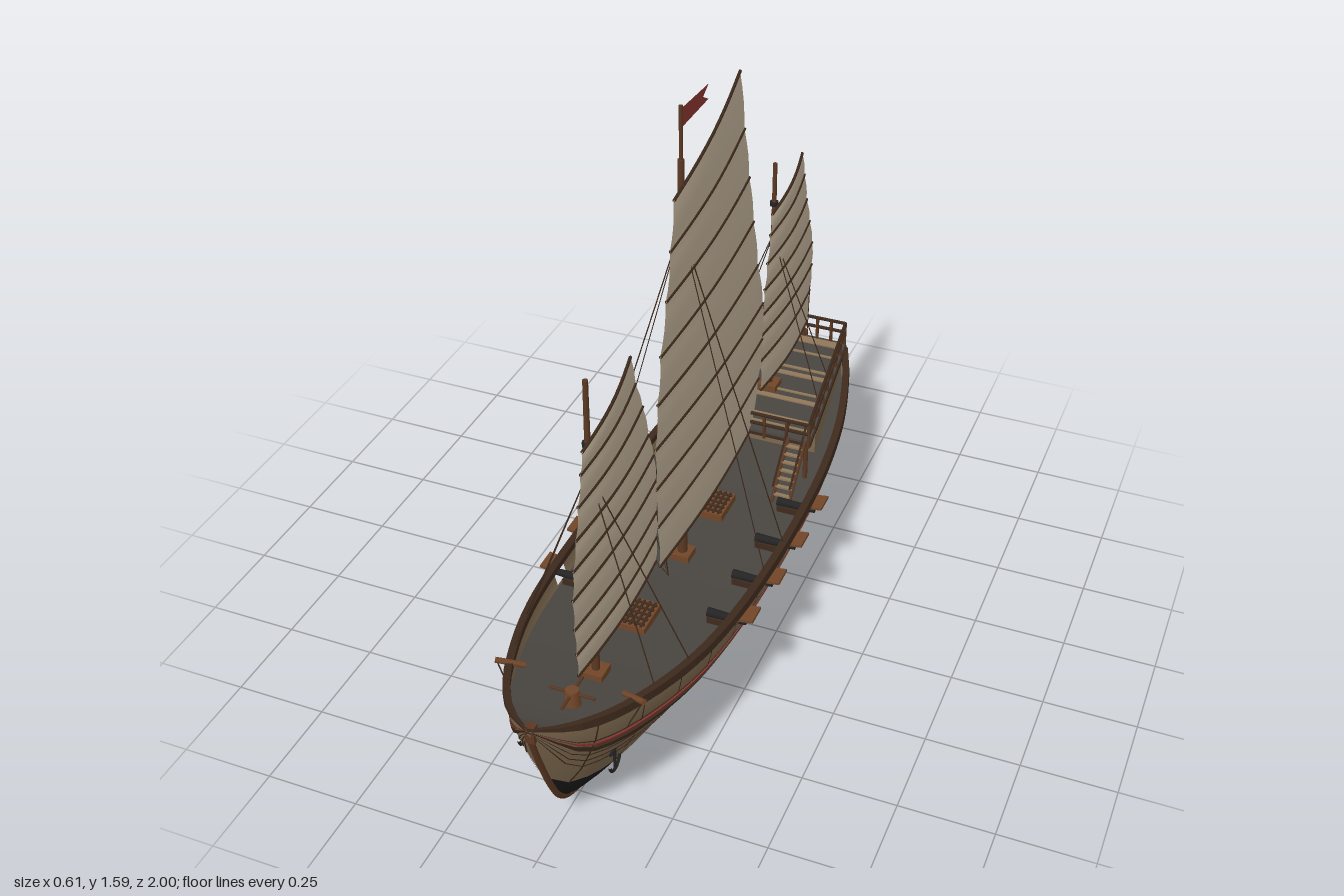
import * as THREE from 'three';

const mat = (name, color, side = THREE.FrontSide) => {
  const m = new THREE.MeshStandardMaterial({ color, side });
  m.name = name;
  return m;
};
const D = THREE.DoubleSide;
const M = {
  hull: mat('weatheredPlank', 0x7c674d, D), tar: mat('blackTar', 0x191919, D),
  trim: mat('darkTrim', 0x3e2a1d, D), deck: mat('greyDeck', 0x494540, D),
  spar: mat('mastBrown', 0x5b3822), lid: mat('reddishWood', 0x714628),
  sail: mat('sailCloth', 0xc0b098, D), red: mat('redPaint', 0x8c3530, D),
  iron: mat('iron', 0x232323), tan: mat('paleWood', 0x8f7659),
};
const V = (x, y, z) => new THREE.Vector3(x, y, z);
const lerp = THREE.MathUtils.lerp, clamp = THREE.MathUtils.clamp;

// smooth interpolation through [position, value] pairs in ascending order
const curve = (p) => (z) => {
  z = clamp(z, p[0][0], p[p.length - 1][0]);
  let i = 0;
  while (i < p.length - 2 && z > p[i + 1][0]) i++;
  const slope = (a, b) => (p[b][1] - p[a][1]) / (p[b][0] - p[a][0]);
  const m = (k) => slope(Math.max(k - 1, 0), Math.min(k + 1, p.length - 1));
  const d = p[i + 1][0] - p[i][0], t = (z - p[i][0]) / d, t2 = t * t, t3 = t2 * t;
  return (2 * t3 - 3 * t2 + 1) * p[i][1] + (t3 - 2 * t2 + t) * d * m(i)
    + (3 * t2 - 2 * t3) * p[i + 1][1] + (t3 - t2) * d * m(i + 1);
};

// hull lines: sheer, keel, half-breadth, waterline and section shape
const sheer = curve([[-0.905, 0.37], [-0.6, 0.34], [-0.4, 0.326], [-0.2, 0.32], [0, 0.322], [0.2, 0.33], [0.4, 0.345], [0.6, 0.366], [0.8, 0.395], [1, 0.435]]);
const keel = curve([[-0.905, 0.235], [-0.87, 0.15], [-0.83, 0.065], [-0.78, 0.03], [-0.6, 0.012], [0, 0.01], [0.5, 0.012], [0.75, 0.032], [0.85, 0.085], [0.9, 0.165], [0.96, 0.31], [1, 0.425]]);
const beamAt = curve([[-0.905, 0.138], [-0.8, 0.178], [-0.6, 0.23], [-0.4, 0.257], [-0.2, 0.268], [0.1, 0.27], [0.4, 0.255], [0.6, 0.223], [0.8, 0.16], [0.9, 0.108], [0.96, 0.06], [1, 0.004]]);
const water = curve([[-0.9, 0.18], [-0.6, 0.14], [0, 0.125], [0.6, 0.135], [0.9, 0.175]]);
const section = curve([[0, 0.02], [0.12, 0.25], [0.33, 0.55], [0.5, 0.72], [0.65, 0.86], [0.8, 0.96], [0.9, 1], [1, 0.98]]);
const below = (z, off) => sheer(z) - off * Math.min(1, (sheer(z) - keel(z)) / 0.25);
const halfW = (z, y) => beamAt(z) * section(clamp((y - keel(z)) / (sheer(z) - keel(z)), 0, 1));
const waterY = (z) => clamp(water(z), keel(z), below(z, 0.1));
const deckY = (z) => below(z, 0.072);

const PORTS = [0.305, 0.125, -0.05, -0.225], PW = 0.03;
const inPort = (z) => PORTS.some((p) => Math.abs(z - p) < PW);
const stations = [...Array.from({ length: 49 }, (_, i) => -0.905 + (1.905 * i) / 48).filter((z) => !inPort(z)),
  ...PORTS.flatMap((p) => [p - PW, p + PW])].sort((a, b) => a - b);

export function createModel() {
  const ship = new THREE.Group();
  ship.name = 'junk';
  const add = (name, geo, m, parent = ship) => {
    const mesh = new THREE.Mesh(geo, m);
    mesh.name = name;
    parent.add(mesh);
    return mesh;
  };
  const group = (name) => {
    const g = new THREE.Group();
    g.name = name;
    ship.add(g);
    return g;
  };
  const box = (name, w, h, d, x, y, z, m, parent) => {
    const b = add(name, new THREE.BoxGeometry(w, h, d), m, parent);
    b.position.set(x, y, z);
    return b;
  };
  // round bar between two points
  const bar = (name, a, b, r, m, parent, sides = 6, r2 = r) => {
    const c = add(name, new THREE.CylinderGeometry(r2, r, a.distanceTo(b), sides), m, parent);
    c.position.copy(a).lerp(b, 0.5);
    c.quaternion.setFromUnitVectors(V(0, 1, 0), b.clone().sub(a).normalize());
    return c;
  };
  // surface through a grid of points
  const loft = (name, grid, m, { flat = false, skip = () => false, parent = ship } = {}) => {
    const n = grid[0].length, idx = [];
    for (let i = 0; i < grid.length - 1; i++) for (let j = 0; j < n - 1; j++) {
      if (skip(i, j)) continue;
      const a = i * n + j, b = a + n;
      idx.push(a, b, a + 1, b, b + 1, a + 1);
    }
    let g = new THREE.BufferGeometry().setFromPoints(grid.flat());
    g.setIndex(idx);
    if (flat) g = g.toNonIndexed();
    g.computeVertexNormals();
    return add(name, g, m, parent);
  };
  // slab from a plan outline of [x, z]
  const slab = (name, pts, y, h, m, parent) => {
    const g = new THREE.ExtrudeGeometry(new THREE.Shape(pts.map(([x, z]) => new THREE.Vector2(x, -z))), { depth: h, bevelEnabled: false });
    return add(name, g.rotateX(-Math.PI / 2).translate(0, y, 0), m, parent);
  };

  // hull shell, with gun ports left open
  const hull = group('hull');
  const lowRows = (z) => [0, 0.15, 0.3, 0.5, 0.75, 1].map((t) => lerp(keel(z), waterY(z), t));
  const topRows = (z) => [...[0, 0.33, 0.66, 1].map((t) => lerp(waterY(z), below(z, 0.068), t)), below(z, 0.026), sheer(z)];
  const openings = { parent: hull, skip: (i, j) => j === 3 && inPort((stations[i] + stations[i + 1]) / 2) };
  for (const s of [1, -1]) {
    const side = (rows) => stations.map((z) => rows(z).map((y) => V(s * halfW(z, y), y, z)));
    loft('bottom', side(lowRows), M.tar, { parent: hull });
    loft('topsides', side(topRows), M.hull, openings);
    // raised strakes following the sheer
    const strake = (name, o0, o1, th, m) => loft(name, stations.map((z) => {
      const y0 = below(z, o0), y1 = o1 < 0 ? sheer(z) - o1 : below(z, o1), w = Math.min(halfW(z, y0), halfW(z, y1));
      const wi = Math.max(w - (o1 < 0 ? 0.012 : 0.002), 0), a = halfW(z, y0) + th, b = halfW(z, y1) + th;
      return [V(s * wi, y0, z), V(s * a, y0, z), V(s * b, y1, z), V(s * wi, y1, z), V(s * wi, y0, z)];
    }), m, { flat: true, parent: hull });
    strake('railCap', 0.014, -0.006, 0.008, M.trim);
    strake('redStripe', 0.087, 0.081, 0.005, M.red);
    strake('upperWale', 0.108, 0.094, 0.009, M.trim);
    for (const o of [0.022, 0.076, 0.128, 0.15, 0.172]) strake('plankSeam', o, o - 0.003, 0.002, M.trim);
    // frame joints on the topsides
    for (let z = -0.84; z < 0.9; z += 0.1325) {
      if (inPort(z)) continue;
      loft('frameJoint', [-0.002, 0.002].map((d) => topRows(z).map((y) => V(s * (halfW(z + d, y) + 0.002), y, z + d))), M.trim, { parent: hull });
    }
  }
  const across = (z, y) => [-1, 1].map((s) => V(s * halfW(z, y), y, z));
  loft('deck', stations.map((z) => across(z, deckY(z))), M.deck);
  loft('transom', [...lowRows(-0.905), ...topRows(-0.905)].map((y) => across(-0.905, y)), M.hull, { parent: hull });
  add('stemPost', new THREE.TubeGeometry(new THREE.CatmullRomCurve3([0.5, 0.75, 0.85, 0.9, 0.96, 0.99].map((z) => V(0, keel(z), z))), 24, 0.009, 6), M.spar, hull);
  box('stemHead', 0.024, 0.05, 0.02, 0, 0.415, 0.985, M.spar, hull);
  box('keelBeam', 0.014, 0.012, 1.15, 0, 0.01, -0.05, M.tar, hull);

  // guns, port lids and carriages
  const guns = group('guns');
  for (const s of [1, -1]) for (const z of PORTS) {
    const y = sheer(z) - 0.047, w = halfW(z, y);
    bar('barrel', V(s * 0.165, y, z), V(s * (w + 0.012), y, z), 0.013, M.iron, guns, 10, 0.009);
    box('carriage', 0.075, 0.018, 0.032, s * 0.205, y - 0.015, z, M.trim, guns);
    const lid = box('portLid', 0.042, 0.007, 0.062, s * (w + 0.019), y + 0.028, z, M.lid, guns);
    lid.rotation.z = s * 0.15;
  }

  // raised stern cabin
  const poop = group('poop');
  const pw = (z) => lerp(0.132, 0.2, (z + 0.905) / 0.53), py = (z) => lerp(0.392, 0.376, (z + 0.905) / 0.53);
  const plan = (z0, z1, e) => [[-pw(z0) - e, z0], [-pw(z1) - e, z1], [pw(z1) + e, z1], [pw(z0) + e, z0]];
  slab('cabin', plan(-0.905, -0.5, -0.004), 0.25, 0.126, M.hull, poop);
  slab('cabinStripe', plan(-0.906, -0.499, 0), 0.355, 0.006, M.red, poop);
  slab('cabinBand', plan(-0.906, -0.499, 0), 0.338, 0.008, M.trim, poop);
  slab('poopDeck', plan(-0.91, -0.375, 0.004), 0.374, 0.012, M.deck, poop);
  slab('poopEdge', plan(-0.911, -0.374, 0.007), 0.37, 0.009, M.trim, poop);
  for (const [z, d] of [[-0.88, 0.03], [-0.81, 0.008], [-0.72, 0.01], [-0.685, 0.018], [-0.595, 0.008], [-0.555, 0.018], [-0.455, 0.016], [-0.42, 0.008]])
    box('deckBatten', pw(z) * 2 - 0.01, 0.006, d, 0, 0.387, z, M.tan, poop);
  for (const s of [1, -1]) {
    const at = (z, h) => V(s * pw(z), py(z) + h, z);
    for (const h of [0.035, 0.066]) bar('sideRail', at(-0.905, h), at(-0.375, h), 0.005, M.trim, poop);
    for (let i = 0; i <= 8; i++) bar('railPost', at(-0.905 + i * 0.06625, -0.01), at(-0.905 + i * 0.06625, 0.068), 0.005, M.spar, poop);
    bar('overhangPost', V(s * 0.19, 0.25, -0.385), V(s * 0.19, 0.376, -0.385), 0.007, M.spar, poop);
    // ladder
    for (const x of [0.14, 0.19]) {
      bar('ladderSide', V(s * x, 0.25, -0.245), V(s * x, 0.385, -0.375), 0.005, M.spar, poop);
      bar('ladderRail', V(s * x, 0.3, -0.25), V(s * x, 0.435, -0.378), 0.003, M.trim, poop);
    }
    for (let i = 1; i < 8; i++) box('ladderStep', 0.05, 0.005, 0.012, s * 0.165, 0.25 + i * 0.0169, -0.245 - i * 0.0163, M.tan, poop);
    // stern windows
    box('windowFrame', 0.062, 0.05, 0.008, s * 0.065, 0.325, -0.907, M.lid, poop);
    box('windowPane', 0.042, 0.032, 0.008, s * 0.065, 0.325, -0.91, M.iron, poop);
    box('windowBar', 0.005, 0.032, 0.008, s * 0.065, 0.325, -0.912, M.tan, poop);
  }
  for (const z of [-0.905, -0.375]) {
    for (const h of [0.035, 0.066]) bar('crossRail', V(-pw(z), py(z) + h, z), V(pw(z), py(z) + h, z), 0.005, M.trim, poop);
    for (let i = 1; i < 6; i++) {
      const x = pw(z) * (i / 3 - 1);
      bar('railPost', V(x, py(z) - 0.01, z), V(x, py(z) + 0.066, z), 0.005, M.spar, poop);
    }
  }

  // rudder
  const blade = new THREE.Shape([[0.885, 0.06], [0.9, 0.055], [0.985, 0.065], [1, 0.08], [1, 0.22], [0.985, 0.265], [0.96, 0.288], [0.925, 0.288], [0.9, 0.25], [0.885, 0.235]].map(([z, y]) => new THREE.Vector2(z, y)));
  add('rudder', new THREE.ExtrudeGeometry(blade, { depth: 0.022, bevelEnabled: false }).rotateY(Math.PI / 2).translate(-0.011, 0, 0), M.lid);
  bar('rudderStock', V(0, 0.06, -0.89), V(0, 0.4, -0.915), 0.011, M.spar);

  // masts, battened sails and rigging; rows are [fore z, fore y, aft z, aft y] from the top down
  const rigs = [
    { name: 'fore', z: 0.635, top: 1.17, r: 0.011, hitch: 0.92, foot: 0.067, x: 0.016, sheet: V(0.02, 0.3, 0.22),
      rows: [[0.7, 1.02, 0.426, 1.11], [0.713, 0.965, 0.402, 1.02], [0.732, 0.887, 0.362, 0.93], [0.75, 0.805, 0.33, 0.826], [0.77, 0.73, 0.302, 0.745], [0.78, 0.65, 0.287, 0.66], [0.778, 0.56, 0.288, 0.56], [0.772, 0.48, 0.29, 0.48], [0.768, 0.41, 0.295, 0.405]] },
    { name: 'main', z: 0.075, top: 1.45, r: 0.014, hitch: 1.27, foot: 0.07, x: 0.02, sheet: V(0.02, 0.38, -0.37),
      rows: [[0.17, 1.39, -0.26, 1.54], [0.195, 1.265, -0.298, 1.365], [0.222, 1.142, -0.34, 1.206], [0.26, 1.008, -0.378, 1.056], [0.281, 0.88, -0.42, 0.9], [0.298, 0.757, -0.468, 0.752], [0.298, 0.634, -0.468, 0.634], [0.29, 0.51, -0.445, 0.515], [0.28, 0.375, -0.385, 0.375]] },
    { name: 'mizzen', z: -0.6, top: 1.12, r: 0.01, hitch: 0.9, foot: 0.07, x: 0.013, sheet: V(0.02, 0.42, -0.88),
      rows: [[-0.545, 0.99, -0.79, 1.065], [-0.532, 0.93, -0.815, 0.985], [-0.515, 0.85, -0.845, 0.89], [-0.497, 0.775, -0.88, 0.8], [-0.48, 0.7, -0.912, 0.712], [-0.475, 0.635, -0.915, 0.635], [-0.478, 0.55, -0.905, 0.55], [-0.485, 0.447, -0.89, 0.45]] },
  ];
  for (const { name, z, top, r, hitch, foot, x, sheet, rows } of rigs) {
    const g = group(name + 'Rig'), base = name === 'mizzen' ? 0.385 : deckY(z);
    bar('mast', V(0, 0.2, z), V(0, top, z), r, M.spar, g, 12, r * 0.6);
    box('mastCollar', 0.055, 0.02, 0.055, 0, base + 0.01, z, M.lid, g);
    for (let y = 0.6; y < top - 0.1; y += 0.13) bar('mastBand', V(0, y, z), V(0, y + 0.012, z), r + 0.002, M.iron, g, 12);
    const at = (row, u, puff = 0) => V(x + 0.012 * Math.sin(Math.PI * u) + puff, lerp(row[1], row[3], u), lerp(row[0], row[2], u));
    const grid = [];
    rows.forEach((row, i) => {
      const next = rows[i + 1];
      for (let k = 0; k < (next ? 4 : 1); k++) {
        const mid = row.map((v, n) => (next ? lerp(v, next[n], k / 4) : v));
        grid.push(Array.from({ length: 11 }, (_, j) => at(mid, j / 10, 0.004 * Math.sin((Math.PI * k) / 4))));
      }
    });
    loft('sail', grid, M.sail, { parent: g });
    rows.forEach((row, i) => {
      const pts = [0, 0.25, 0.5, 0.75, 1].map((u) => at(row, u, 0.001));
      add('batten', new THREE.TubeGeometry(new THREE.CatmullRomCurve3(pts), 10, 0.0042, 5), M.trim, g);
      if (i > 3) bar('sheet', at(row, 1), sheet, 0.0009, M.trim, g, 4);
    });
    // shrouds
    for (const s of [1, -1]) for (const d of [-foot, foot]) {
      const fz = z + d, fx = name === 'mizzen' ? pw(fz) : beamAt(fz) - 0.008;
      bar('shroud', V(0, hitch, z), V(s * fx, name === 'mizzen' ? 0.4 : sheer(fz), fz), 0.0016, M.trim, g, 4);
    }
  }

  // swallow-tailed pennant
  bar('flagPole', V(0, 1.42, 0.075), V(0, 1.59, 0.075), 0.005, M.spar);
  const flag = new THREE.Shape([[-0.07, 1.53], [0.1, 1.53], [0.065, 1.55], [0.1, 1.57], [-0.07, 1.58]].map(([a, b]) => new THREE.Vector2(a, b)));
  add('pennant', new THREE.ShapeGeometry(flag).rotateY(Math.PI / 2), M.red);

  // deck hatches with gratings
  const fittings = group('deckFittings');
  for (const z of [-0.16, 0.38]) {
    const y = deckY(z);
    box('hatch', 0.085, 0.022, 0.11, 0, y + 0.011, z, M.lid, fittings);
    for (let i = -2; i <= 2; i++) {
      box('gratingBar', 0.075, 0.006, 0.006, 0, y + 0.023, z + i * 0.02, M.trim, fittings);
      box('gratingBar', 0.006, 0.006, 0.1, i * 0.015, y + 0.023, z, M.trim, fittings);
    }
  }
  // capstan
  const cy = deckY(0.77);
  bar('capstan', V(0, cy, 0.77), V(0, cy + 0.045, 0.77), 0.022, M.lid, fittings, 10, 0.017);
  bar('capstanBar', V(-0.06, cy + 0.035, 0.77), V(0.06, cy + 0.035, 0.77), 0.004, M.spar, fittings);
  bar('capstanBar', V(0, cy + 0.035, 0.71), V(0, cy + 0.035, 0.83), 0.004, M.spar, fittings);
  // catheads and anchors
  for (const s of [1, -1]) {
    bar('cathead', V(s * 0.13, 0.385, 0.755), V(s * 0.195, 0.405, 0.785), 0.008, M.lid, fittings);
    const ax = s * (halfW(0.8, 0.2) + 0.016);
    bar('anchorCable', V(s * 0.19, 0.4, 0.785), V(ax, 0.25, 0.8), 0.002, M.trim, fittings, 4);
    bar('anchorShank', V(ax, 0.25, 0.8), V(ax, 0.175, 0.8), 0.004, M.iron, fittings);
    bar('anchorStock', V(ax, 0.24, 0.775), V(ax, 0.24, 0.825), 0.004, M.iron, fittings);
    const arms = add('anchorArms', new THREE.TorusGeometry(0.028, 0.004, 6, 12, Math.PI), M.iron, fittings);
    arms.rotation.set(Math.PI, Math.PI / 2, 0);
    arms.position.set(ax, 0.203, 0.8);
  }
  return ship;
}
